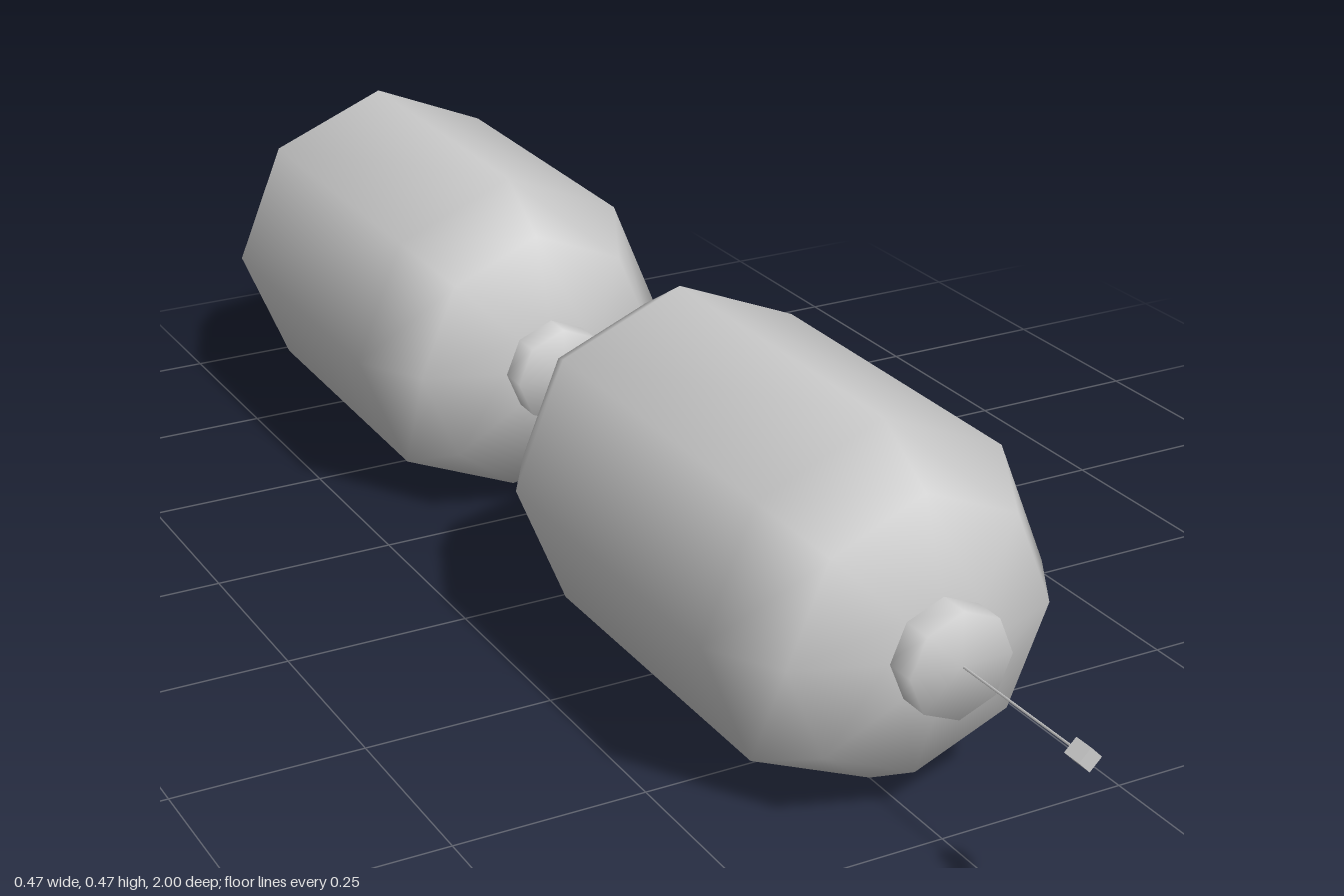
import * as THREE from 'three';

const material = new THREE.MeshStandardMaterial({ color: 0xcccccc, side: THREE.DoubleSide });

// Eight-sided smooth lathe turned so its axis runs along z; points are [radius, z]
function turned(name, points) {
  const geometry = new THREE.LatheGeometry(points.map(([r, z]) => new THREE.Vector2(r, z)), 8);
  geometry.rotateX(Math.PI / 2);
  const mesh = new THREE.Mesh(geometry, material);
  mesh.name = name;
  return mesh;
}

// Lantern centred on the origin, front towards +z
function lantern(name) {
  const group = new THREE.Group();
  group.name = name;
  group.add(
    turned('lanternBody', [
      [0.05, -0.365], [0.07, -0.369], [0.177, -0.328], [0.233, -0.235],
      [0.233, 0.235], [0.177, 0.328], [0.07, 0.369], [0, 0.369],
    ]),
    // solid cap at the front
    turned('frontCap', [[0.068, 0.362], [0.068, 0.41], [0, 0.41]]),
    // hollow collar at the back
    turned('backCollar', [
      [0, -0.365], [0.05, -0.365], [0.05, -0.41], [0.068, -0.41], [0.068, -0.362],
    ]),
  );
  return group;
}

// Thin cord ending in a small square bead
function cord(name, from, to) {
  const group = new THREE.Group();
  group.name = name;
  const a = new THREE.Vector3(...from);
  const b = new THREE.Vector3(...to);
  const length = a.distanceTo(b);

  const string = new THREE.Mesh(new THREE.CylinderGeometry(0.002, 0.002, length, 4), material);
  string.name = 'string';
  string.rotation.x = Math.PI / 2;
  string.position.z = length / 2;

  const bead = new THREE.Mesh(new THREE.BoxGeometry(0.021, 0.021, 0.026), material);
  bead.name = 'bead';
  bead.rotation.z = Math.PI / 4;
  bead.position.z = length - 0.013;

  group.add(string, bead);
  group.position.copy(a);
  group.lookAt(b);
  return group;
}

export function createModel() {
  const model = new THREE.Group();
  model.name = 'lanternChain';
  const y = 0.233;

  const front = lantern('frontLantern');
  front.position.set(0, y, 0.361);

  // the rear lantern hangs slightly askew
  const rear = lantern('rearLantern');
  rear.position.set(-0.003, y, -0.588);
  rear.rotation.y = -0.018;

  model.add(
    front,
    rear,
    cord('frontCord', [0.003, 0.231, 0.765], [0.005, 0.231, 1]),
    cord('rearCord', [-0.011, 0.231, -0.185], [0.003, 0.231, 0.04]),
  );
  return model;
}
